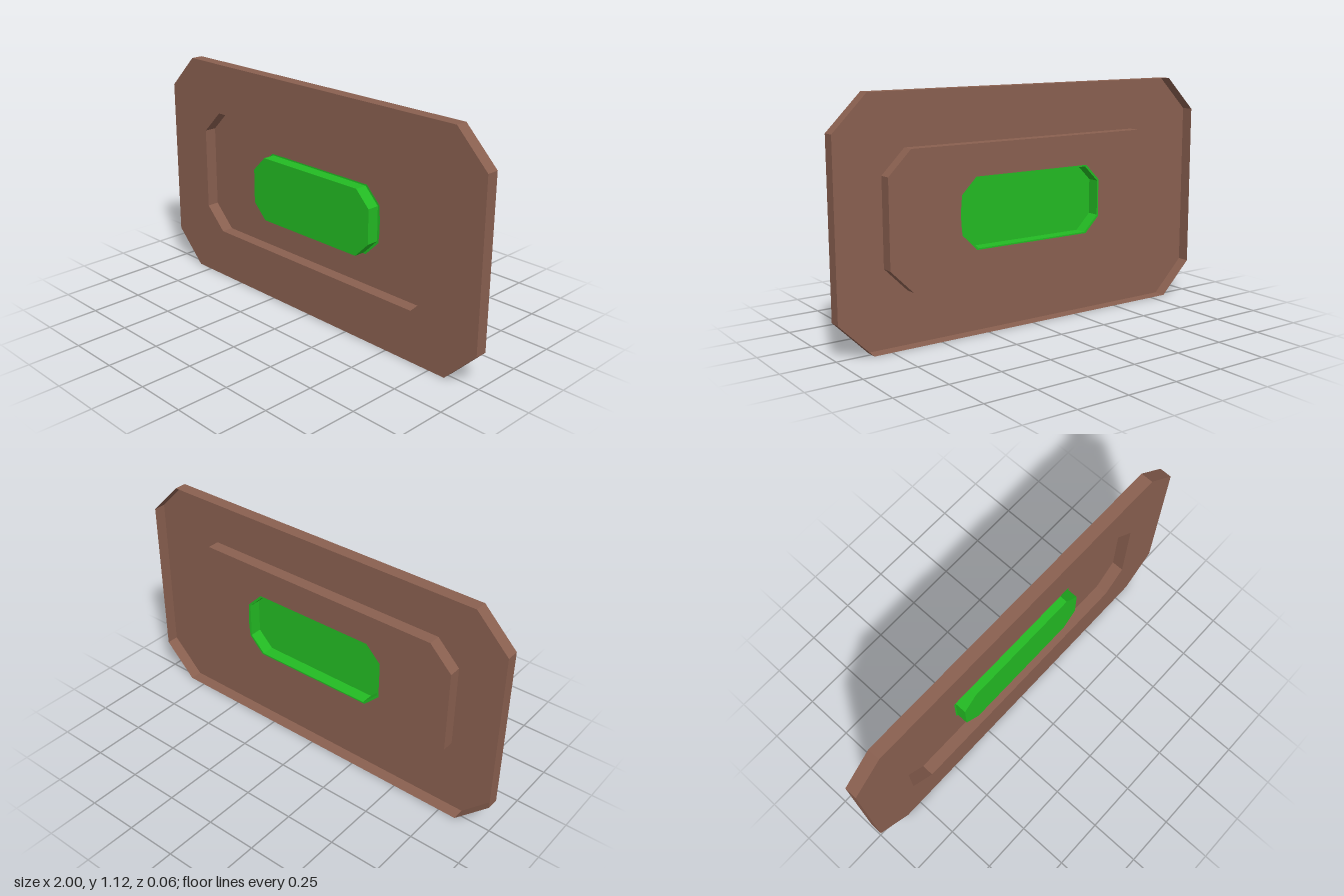
import * as THREE from 'three';

const brown = new THREE.MeshStandardMaterial({ color: 0x8a6050, side: THREE.DoubleSide });
brown.name = 'brown';
const green = new THREE.MeshStandardMaterial({ color: 0x23bb23, side: THREE.DoubleSide });
green.name = 'green';

const FRONT = 0.03, BACK = -0.03, MID = 0.5625;

// Counter-clockwise rectangle with cut corners, centred on the panel
function octagon(hw, hh, cx, cy = cx) {
  return [
    [hw, -hh + cy], [hw, hh - cy], [hw - cx, hh], [-hw + cx, hh],
    [-hw, hh - cy], [-hw, -hh + cy], [-hw + cx, -hh], [hw - cx, -hh],
  ].map(([x, y]) => new THREE.Vector2(x, y + MID));
}

// Flat face at depth z, with an optional hole
function face(name, outline, hole, z, material) {
  const shape = new THREE.Shape(outline);
  if (hole) shape.holes.push(new THREE.Path(hole));
  const mesh = new THREE.Mesh(new THREE.ShapeGeometry(shape), material);
  mesh.position.z = z;
  mesh.name = name;
  return mesh;
}

// Band of flat walls along an outline; inward turns the walls to face the centre
function walls(name, outline, material, inward = false) {
  const pos = [];
  outline.forEach((p, i) => {
    const q = outline[(i + 1) % outline.length];
    const [a, b] = inward ? [q, p] : [p, q];
    pos.push(a.x, a.y, BACK, b.x, b.y, BACK, b.x, b.y, FRONT);
    pos.push(a.x, a.y, BACK, b.x, b.y, FRONT, a.x, a.y, FRONT);
  });
  const geo = new THREE.BufferGeometry();
  geo.setAttribute('position', new THREE.Float32BufferAttribute(pos, 3));
  geo.computeVertexNormals();
  const mesh = new THREE.Mesh(geo, material);
  mesh.name = name;
  return mesh;
}

export function createModel() {
  const group = new THREE.Group();
  group.name = 'steppedPanel';

  const outer = octagon(1, 0.5625, 0.163);
  const recess = octagon(0.75, 0.315, 0.112);
  const raised = octagon(0.38, 0.16, 0.076);
  // Green margin on the recess floor, with a small bulge on the left side
  const margin = octagon(0.388, 0.167, 0.076);
  margin.splice(1, 0, new THREE.Vector2(0.394, 0.53), new THREE.Vector2(0.394, 0.59));

  // Open-backed shell: rim, outer edge, recess and raised centre
  group.add(
    face('frontRim', outer, recess, FRONT, brown),
    walls('outerEdge', outer, brown),
    walls('recessWalls', recess, brown, true),
    face('recessFloor', recess, margin, BACK, brown),
    face('centreMargin', margin, raised, BACK, green),
    walls('centreWalls', raised, green),
    face('centrePlate', raised, null, FRONT, green),
  );
  return group;
}
